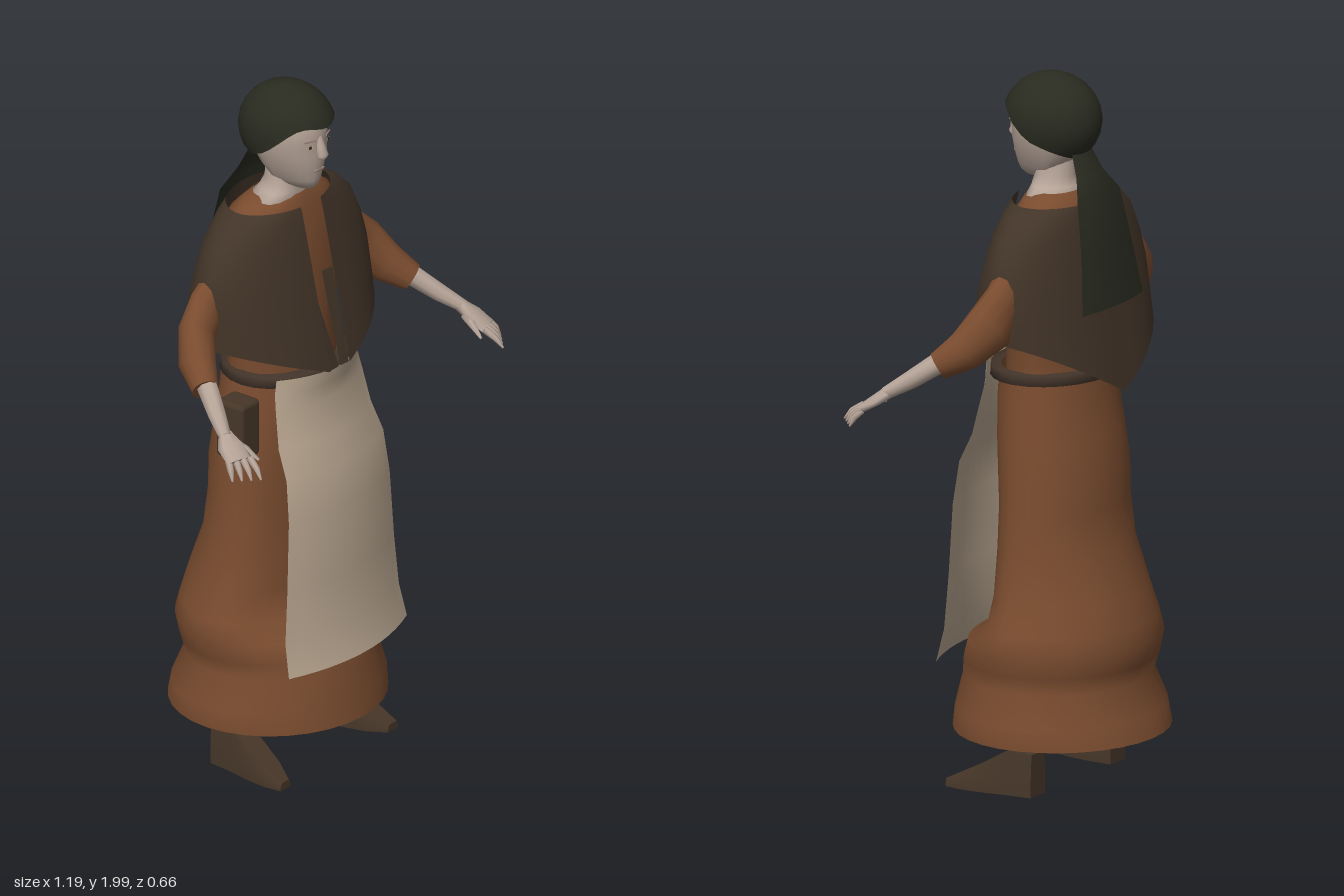
import * as THREE from 'three';
import { toCreasedNormals } from 'three/addons/utils/BufferGeometryUtils.js';
import { RoundedBoxGeometry } from 'three/addons/geometries/RoundedBoxGeometry.js';

const mat = (name, color, double) => {
  const m = new THREE.MeshStandardMaterial({ color });
  m.name = name;
  if (double) m.side = THREE.DoubleSide;
  return m;
};

// Surface through rows of points; optionally joined around and capped at the ends.
function grid(rows, closed = false, capped = false) {
  const n = rows[0].length, pos = [], idx = [];
  rows.forEach(r => r.forEach(p => pos.push(p.x, p.y, p.z)));
  for (let i = 0; i < rows.length - 1; i++)
    for (let j = 0; j < (closed ? n : n - 1); j++) {
      const a = i * n + j, b = i * n + (j + 1) % n;
      idx.push(a, b, b + n, a, b + n, a + n);
    }
  if (capped) {
    [rows[0], rows[rows.length - 1]].forEach((r, e) => {
      const base = pos.length / 3;
      const c = r.reduce((s, p) => s.add(p), new THREE.Vector3()).divideScalar(n);
      [...r, c].forEach(p => pos.push(p.x, p.y, p.z));
      for (let j = 0; j < n; j++) {
        const a = base + j, b = base + (j + 1) % n;
        if (e) idx.push(a, b, base + n); else idx.push(b, a, base + n);
      }
    });
  }
  const g = new THREE.BufferGeometry();
  g.setAttribute('position', new THREE.Float32BufferAttribute(pos, 3));
  g.setIndex(idx);
  g.computeVertexNormals();
  return g;
}

// Horizontal cross-sections [y, half width, front z, back z], from bottom to top.
function body(sections, z0, n = 24, capped = false) {
  return grid(sections.map(([y, x, zf, zb]) => Array.from({ length: n }, (_, j) => {
    const a = j / n * Math.PI * 2, c = Math.cos(a);
    return new THREE.Vector3(x * Math.sin(a), y, z0 + c * (c > 0 ? zf - z0 : z0 - zb));
  })), true, capped);
}

// Tapered limb through [x, y, z, horizontal radius, other radius]; s mirrors it.
function limb(path, s = 1, n = 8) {
  const pts = path.map(p => new THREE.Vector3(p[0] * s, p[1], p[2]));
  const up = new THREE.Vector3(0, 1, 0);
  return grid(pts.map((p, i) => {
    const t = pts[Math.min(i + 1, pts.length - 1)].clone().sub(pts[Math.max(i - 1, 0)]).normalize();
    const u = up.clone().cross(t).normalize(), v = t.clone().cross(u);
    const [, , , ru, rv = ru] = path[i];
    return Array.from({ length: n }, (_, j) => {
      const a = j / n * Math.PI * 2;
      return p.clone().addScaledVector(u, ru * Math.cos(a)).addScaledVector(v, rv * Math.sin(a));
    });
  }), true, true);
}

// Hanging cloth from rows [y, half width, middle z, edge z].
const sheet = (rows, n = 12) => grid(rows.map(([y, w, zm, ze]) =>
  Array.from({ length: n + 1 }, (_, j) => {
    const u = j / n * 2 - 1;
    return new THREE.Vector3(u * w, y, zm + (ze - zm) * u * u);
  })));

// Flat-soled shoe from sections [x, z, sole half width, top half width, height].
const shoe = (sections, s) => toCreasedNormals(grid(sections.map(([x, z, b, t, h]) =>
  [[-b, 0], [b, 0], [b, 0.4 * h], [t, h], [-t, h], [-b, 0.4 * h]]
    .map(([dx, y]) => new THREE.Vector3(x * s + dx, 0.008 + y, z))), true, true), 0.9);

export function createModel() {
  const model = new THREE.Group();
  const M = {
    dress: mat('dress brown', 0x7a4c2f, true),
    cape: mat('cape brown', 0x423428, true),
    scarf: mat('scarf green', 0x292b20, true),
    apron: mat('apron linen', 0xb9a690, true),
    skin: mat('skin', 0xb5a397),
    leather: mat('leather', 0x463628),
    belt: mat('belt brown', 0x42342a),
    dark: mat('eye dark', 0x3a302a),
    lips: mat('lips', 0x9a8176),
  };
  const add = (name, geo, m, parent = model) => {
    const mesh = new THREE.Mesh(geo, m);
    mesh.name = name;
    parent.add(mesh);
    return mesh;
  };

  // Dress
  add('skirt', body([
    [0.16, 0.315, 0.26, -0.325], [0.22, 0.318, 0.25, -0.308], [0.31, 0.28, 0.235, -0.27],
    [0.36, 0.295, 0.225, -0.285], [0.42, 0.308, 0.2, -0.297], [0.47, 0.298, 0.12, -0.282],
    [0.55, 0.265, 0.11, -0.262], [0.68, 0.24, 0.11, -0.212], [0.8, 0.228, 0.11, -0.197],
    [0.9, 0.22, 0.12, -0.2], [1, 0.212, 0.13, -0.182], [1.1, 0.198, 0.135, -0.165],
    [1.19, 0.188, 0.13, -0.158]], -0.03, 32), M.dress);
  add('bodice', body([
    [1.15, 0.18, 0.11, -0.14], [1.3, 0.185, 0.1, -0.115], [1.45, 0.22, 0.1, -0.13],
    [1.57, 0.22, 0.08, -0.14], [1.635, 0.19, 0.065, -0.13], [1.665, 0.14, 0.055, -0.1],
    [1.68, 0.09, 0.047, -0.085]], -0.03), M.dress);

  // Apron and belt
  add('apron', sheet([
    [0.355, 0.26, 0.265, 0.21], [0.45, 0.25, 0.238, 0.19], [0.6, 0.235, 0.23, 0.185],
    [0.8, 0.222, 0.226, 0.18], [0.92, 0.213, 0.205, 0.165], [1, 0.203, 0.178, 0.13],
    [1.1, 0.19, 0.156, 0.11], [1.15, 0.182, 0.165, 0.1], [1.19, 0.175, 0.17, 0.1]]), M.apron);
  add('belt', body([
    [1.158, 0.185, 0.13, -0.155], [1.16, 0.203, 0.155, -0.172],
    [1.19, 0.2, 0.155, -0.17], [1.192, 0.18, 0.12, -0.15]], 0), M.belt);
  add('pouch', new RoundedBoxGeometry(0.085, 0.17, 0.095, 2, 0.015), M.leather).position.set(-0.243, 1.055, 0.02);

  // Cape: open at the front, hem dipping at front and back; rows [drop, half width]
  const capeRows = [[0, 0.18], [0.06, 0.228], [0.2, 0.282], [0.4, 0.315], [0.6, 0.333], [0.8, 0.336], [1, 0.336]];
  add('cape', grid(capeRows.reverse().map(([t, w]) => {
    const a0 = Math.asin(0.043 / w), n = 36;
    return Array.from({ length: n + 1 }, (_, j) => {
      const a = a0 + (Math.PI * 2 - 2 * a0) * j / n, c = Math.cos(a);
      const hem = 1.31 - (c > 0 ? 0.135 : 0.18) * (1 - Math.abs(Math.sin(a)));
      const depth = c > 0 ? (0.11 + 0.1 * t) * c ** 1.15 : (0.125 + 0.085 * t) * c;
      return new THREE.Vector3(w * Math.sin(a), 1.66 + (hem - 1.66) * t, -0.025 + depth);
    });
  })), M.cape);

  // Folded-back cape edges leaving a narrowing gap
  const v = (x, y, z) => new THREE.Vector3(x, y, z);
  add('capeFoldLeft', grid([[v(0.012, 1.19, 0.174), v(0.045, 1.19, 0.177)],
    [v(0.005, 1.46, 0.115), v(0.045, 1.46, 0.12)]]), M.cape);
  add('capeFoldRight', grid([[v(-0.045, 1.19, 0.177), v(0.006, 1.19, 0.174)],
    [v(-0.045, 1.42, 0.128), v(-0.043, 1.42, 0.128)]]), M.cape);

  // Head and neck
  add('neck', body([[1.6, 0.12, 0.05, -0.1], [1.672, 0.11, 0.047, -0.09],
    [1.69, 0.08, 0.046, -0.075], [1.715, 0.057, 0.046, -0.066], [1.78, 0.055, 0.05, -0.065]], 0, 16), M.skin);
  add('head', body([
    [1.702, 0.022, 0.085, 0.02], [1.715, 0.042, 0.1, 0], [1.735, 0.057, 0.108, -0.04],
    [1.77, 0.075, 0.114, -0.075], [1.81, 0.09, 0.118, -0.1], [1.85, 0.098, 0.115, -0.115],
    [1.9, 0.1, 0.118, -0.115], [1.95, 0.08, 0.09, -0.09]], 0, 24, true), M.skin);
  add('nose', limb([[0, 1.868, 0.105, 0.011], [0, 1.838, 0.114, 0.014],
    [0, 1.812, 0.123, 0.018, 0.016], [0, 1.803, 0.126, 0.01, 0.008]], 1, 12), M.skin);
  add('mouth', new RoundedBoxGeometry(0.04, 0.008, 0.008, 2, 0.003), M.lips).position.set(0, 1.767, 0.111);
  for (const s of [1, -1]) {
    const eye = new THREE.Group();
    eye.name = s > 0 ? 'leftEye' : 'rightEye';
    eye.position.set(0.039 * s, 1.845, 0.1105);
    eye.rotation.y = 0.38 * s;
    model.add(eye);
    add('eyeWhite', new THREE.CircleGeometry(0.013, 12), M.apron, eye).scale.y = 0.5;
    add('iris', new THREE.CircleGeometry(0.0055, 10), M.dark, eye).position.z = 0.001;
    add('brow', new THREE.BoxGeometry(0.034, 0.004, 0.003), M.lips, eye).position.y = 0.018;
  }

  // Headscarf: domed cap with a rim sloping to the nape, and a long tail
  const capRows = 9;
  add('scarfCap', grid(Array.from({ length: capRows + 1 }, (_, i) =>
    Array.from({ length: 32 }, (_, j) => {
      const a = j / 32 * Math.PI * 2, c = Math.cos(a);
      const rim = 1.825 + (c > 0 ? 0.075 * c + 0.025 * Math.sin(2 * a) ** 2 : 0.055 * c);
      const th = Math.acos((rim - 1.87) / 0.13) * (1 - i / capRows) + 0.001;
      return v(0.122 * Math.sin(th) * Math.sin(a), 1.87 + 0.13 * Math.cos(th), 0.142 * Math.sin(th) * c);
    })), true), M.scarf);
  add('scarfTail', sheet([[1.37, 0.15, -0.21, -0.195], [1.52, 0.125, -0.19, -0.176],
    [1.67, 0.105, -0.168, -0.15], [1.73, 0.065, -0.135, -0.12], [1.8, 0.045, -0.1, -0.09]], 8), M.scarf);

  // Arms, hands and shoes
  for (const s of [1, -1]) {
    const side = s > 0 ? 'left' : 'right';
    add(side + 'Sleeve', limb([
      [0.22, 1.5, -0.03, 0.045, 0.06], [0.3, 1.425, -0.037, 0.047, 0.072], [0.36, 1.365, -0.03, 0.052, 0.076],
      [0.415, 1.305, 0.015, 0.052, 0.058], [0.455, 1.262, 0.075, 0.038, 0.04]], s, 12), M.dress);
    add(side + 'Forearm', limb([[0.435, 1.29, 0.05, 0.032], [0.49, 1.222, 0.14, 0.026],
      [0.527, 1.182, 0.2, 0.018]], s), M.skin);
    add(side + 'Palm', limb([[0.52, 1.187, 0.192, 0.02, 0.018], [0.534, 1.162, 0.225, 0.042, 0.016],
      [0.546, 1.135, 0.265, 0.04, 0.012]], s), M.skin);
    for (const k of [-1.5, -0.5, 0.5, 1.5])
      add(side + 'Finger', limb([
        [0.545 + 0.018 * k, 1.138, 0.262 - 0.01 * k, 0.011, 0.01],
        [0.555 + 0.019 * k, 1.118, 0.286 - 0.015 * k, 0.009],
        [0.562 + 0.019 * k, 1.093, 0.302 - 0.018 * k, 0.003]], s, 6), M.skin);
    add(side + 'Thumb', limb([[0.512, 1.165, 0.215, 0.014], [0.5, 1.15, 0.25, 0.011],
      [0.49, 1.125, 0.287, 0.004]], s, 6), M.skin);
    add(side + 'Shoe', shoe([
      [0.199, -0.082, 0.036, 0.032, 0.121], [0.203, 0, 0.042, 0.034, 0.121], [0.212, 0.06, 0.046, 0.034, 0.085],
      [0.225, 0.13, 0.04, 0.028, 0.048], [0.237, 0.18, 0.022, 0.015, 0.022]], s), M.leather);
  }
  return model;
}
